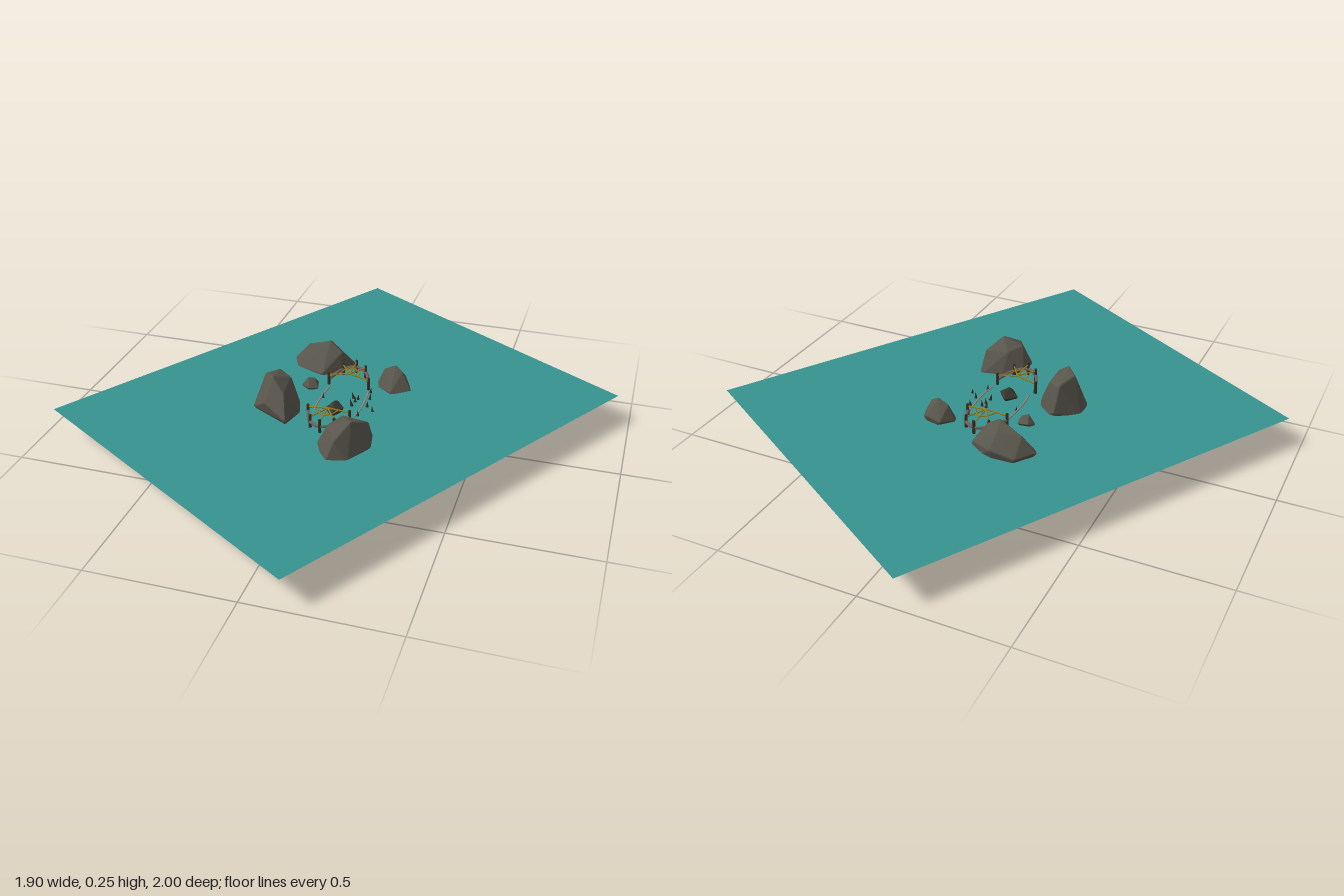
import * as THREE from 'three';
import { ConvexGeometry } from 'three/addons/geometries/ConvexGeometry.js';

const WATER = 0.115;
const V = (x, y, z) => new THREE.Vector3(x, y, z);

export function createModel() {
  const model = new THREE.Group();
  const mat = (name, color, extra = {}) => Object.assign(new THREE.MeshStandardMaterial({ color, ...extra }), { name });
  const water = mat('teal water', 0x379390, { side: THREE.DoubleSide });
  const stone = mat('grey stone', 0x59564c, { flatShading: true });
  const darkStone = mat('dark stone', 0x3b3932, { flatShading: true });
  const wood = mat('weathered wood', 0x6f645a);
  const paleWood = mat('pale wood', 0xa08e84);
  const darkWood = mat('dark wood', 0x3a322b, { flatShading: true });
  const rope = mat('golden rope', 0x9c7d1c);

  const add = (name, geometry, material, parent = model) => {
    const mesh = new THREE.Mesh(geometry, material);
    mesh.name = name;
    parent.add(mesh);
    return mesh;
  };
  const tube = (name, points, radius, material, parent) => add(name,
    new THREE.TubeGeometry(new THREE.CatmullRomCurve3(points), Math.max(2, points.length * 3), radius, 6), material, parent);

  // Water sheet, turned on its vertical axis
  const sheet = add('waterSurface', new THREE.PlaneGeometry(1.266, 1.571).rotateX(-Math.PI / 2), water);
  sheet.position.y = WATER;
  sheet.rotation.y = -0.5486;

  // Chamfered boulder: each hull face is shrunk a little, then wrapped again
  function boulder(name, points, material = stone) {
    const p = new ConvexGeometry(points.map(a => V(...a))).getAttribute('position');
    const cut = [];
    for (let i = 0; i < p.count; i += 3) {
      const face = [0, 1, 2].map(k => V().fromBufferAttribute(p, i + k));
      const centre = face[0].clone().add(face[1]).add(face[2]).divideScalar(3);
      face.forEach(v => cut.push(v.lerp(centre, 0.09)));
    }
    add(name, new ConvexGeometry(cut), material);
  }
  boulder('backLeftBoulder', [
    [-.2, .19, -.27], [-.11, .225, -.25], [-.06, .19, -.24], [-.12, .2, -.3],
    [-.25, .13, -.26], [-.2, .13, -.33], [-.11, .15, -.34], [-.02, .13, -.28],
    [-.06, .1, -.22], [-.12, .12, -.175], [-.23, .11, -.22],
    [-.18, .04, -.24], [-.14, 0, -.29], [-.01, .04, -.27], [-.08, .03, -.22]]);
  boulder('leftBoulder', [
    [-.24, .245, .09], [-.2, .255, .13], [-.15, .21, .16], [-.16, .22, .05], [-.21, .23, .02],
    [-.28, .1, .06], [-.2, .13, -.005], [-.125, .13, .06], [-.11, .12, .11], [-.13, .13, .21],
    [-.22, .17, .17], [-.28, .12, .12], [-.22, .05, .06], [-.15, .05, .15], [-.14, .08, .03]]);
  boulder('frontBoulder', [
    [.05, .2, .29], [.13, .225, .29], [.17, .19, .22], [.08, .2, .22], [.09, .18, .36],
    [.015, .13, .3], [.025, .14, .24], [.09, .1, .19], [.175, .1, .17], [.19, .12, .26],
    [.14, .1, .36], [.06, .09, .38], [.06, .05, .24], [.1, 0, .29], [.17, .04, .27], [.09, .03, .36]]);
  boulder('backRightBoulder', [
    [.12, .18, -.18], [.16, .2, -.18], [.19, .18, -.17], [.095, .12, -.18], [.13, .13, -.23],
    [.19, .14, -.22], [.245, .08, -.15], [.16, .12, -.11], [.105, .11, -.15],
    [.15, .06, -.16], [.19, .06, -.19], [.23, .06, -.16]]);
  boulder('leftSmallRock', [
    [-.14, .155, -.08], [-.12, .15, -.09], [-.165, .12, -.08], [-.15, .13, -.11], [-.11, .125, -.11],
    [-.1, .12, -.07], [-.13, .125, -.05], [-.15, .095, -.08], [-.12, .09, -.08]]);
  boulder('middleRock', [
    [0, .155, .06], [.01, .15, .045], [-.035, .12, .06], [0, .125, .015], [.035, .13, .055],
    [.005, .12, .105], [-.015, .085, .05], [.015, .08, .07]], darkStone);

  // Sunken boat: both ends rise out of the water
  const rim = (angle, side, lift = 0) => V(0.09 * Math.cos(angle), 0.125 + 0.02 * Math.sin(angle) + lift,
    side * 0.225 * Math.sin(angle));
  const rimAngles = [0.57, 1.07, Math.PI / 2, Math.PI - 1.07, Math.PI - 0.57];
  for (const side of [1, -1]) {
    const end = new THREE.Group();
    end.name = side > 0 ? 'frontBoatEnd' : 'backBoatEnd';
    model.add(end);
    tube('gunwale', rimAngles.map(a => rim(a, side)), 0.006, wood, end);
    for (const a of rimAngles) {
      const post = add('railPost', new THREE.CylinderGeometry(0.005, 0.006, 0.05, 6), darkWood, end);
      post.position.copy(rim(a, side, 0.002));
    }
    // Rope fan from the cross line to the rail
    const hub = V(0, 0.165, side * 0.13);
    const ends = rimAngles.map(a => rim(a, side, 0.018));
    for (const e of ends) tube('ropeStay', [hub, e], 0.0028, rope, end);
    const middles = ends.map(e => e.clone().lerp(hub, 0.5));
    tube('ropeWeb', middles, 0.0025, rope, end);
  }
  // Worn side rails just above the water
  for (const side of [1, -1]) {
    const x = side > 0 ? 0.088 : -0.07;
    tube('sideRail', [-0.1, -0.03, 0.04, 0.09].map((z, i) => V(x - side * (i % 3 ? 0 : 0.006), WATER + 0.004, z)),
      0.003, paleWood);
  }

  // Splinters poking through the water: x, z, size
  const splinters = [[.04, -.045, 1], [.055, -.02, .8], [.06, -.04, .8], [.048, .008, 1], [.1, -.055, .9],
    [.105, 0, .9], [.13, .025, .7], [.09, -.1, .8], [.09, .07, .8], [-.065, -.02, .6]];
  splinters.forEach(([x, z, s], i) => {
    const splinter = add('splinter', new THREE.ConeGeometry(0.009 * s, 0.036 * s, 5), darkWood);
    splinter.position.set(x, WATER + 0.008, z);
    splinter.rotation.set(0.2 * Math.sin(i * 2), i, 0.25 * Math.cos(i * 3));
  });
  return model;
}
